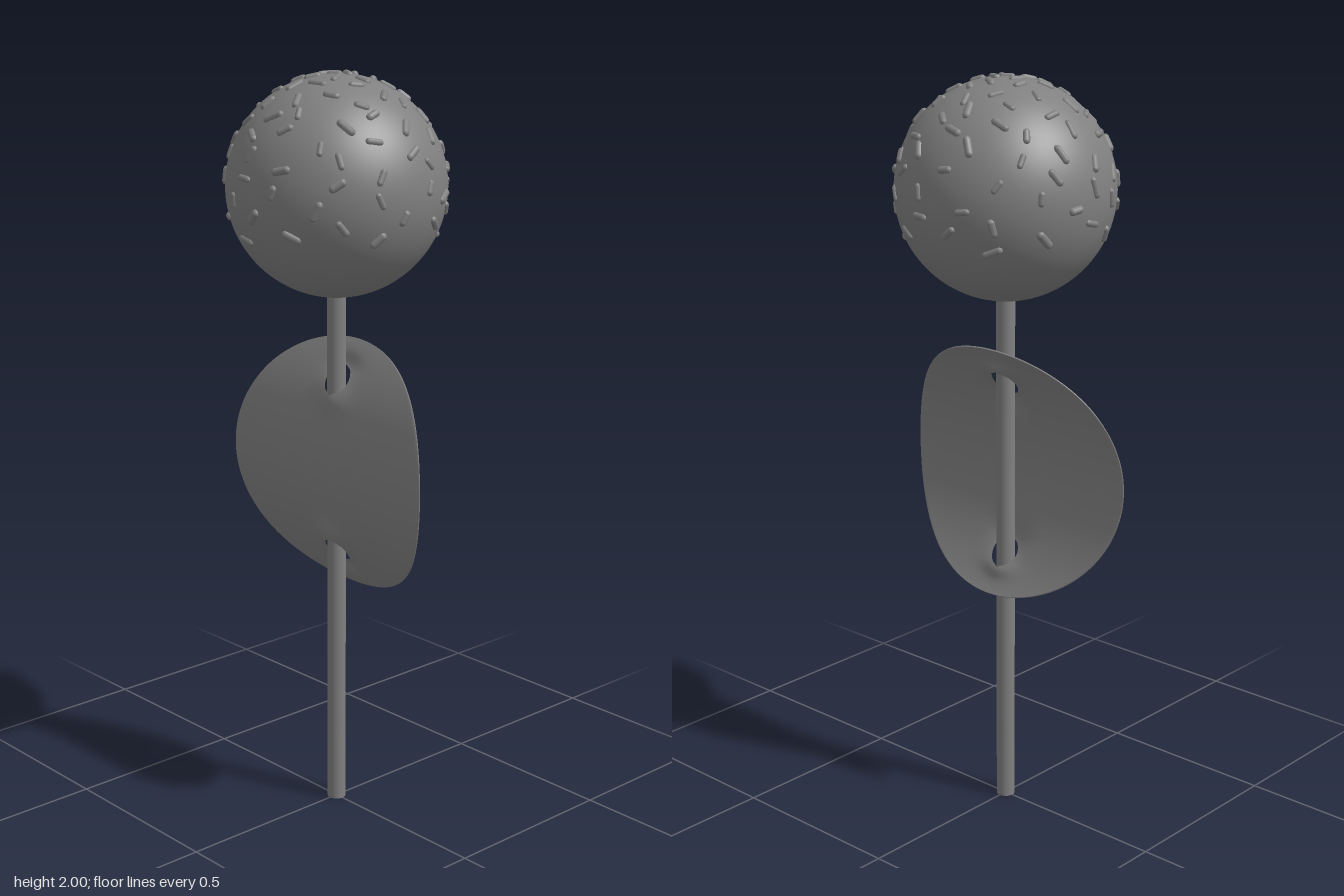
import * as THREE from 'three';
import { ParametricGeometry } from 'three/addons/geometries/ParametricGeometry.js';

const BALL_Y = 1.709, BALL_R = 0.285;
const TAG_Y = 0.962, TAG_R = 0.365, BEND_R = 0.56, TAG_Z = 0.048, TAG_THICK = 0.004;
const HOLE_V = 0.244, HOLE_W = 0.043, HOLE_H = 0.037;

const grey = new THREE.MeshStandardMaterial({ color: 0x808080 });
const greySheet = new THREE.MeshStandardMaterial({ color: 0x808080, side: THREE.DoubleSide });

function seeded(seed) {
  return () => {
    seed = (seed * 16807) % 2147483647;
    return seed / 2147483647;
  };
}

function add(parent, name, geometry, material = grey) {
  const mesh = new THREE.Mesh(geometry, material);
  mesh.name = name;
  parent.add(mesh);
  return mesh;
}

// Half of a round paper tag, bent around a horizontal axis, with two holes for the stick.
// Each row runs along the front face to the rim and returns along the back face.
function tagHalf(side) {
  const bump = (x, d, size) => Math.exp(-((x / 0.05) ** 2) - (d / size) ** 2);
  const columns = 36;
  const geometry = new ParametricGeometry((u, v, target) => {
    const s = TAG_R * Math.sin((v - 0.5) * Math.PI); // distance along the bent sheet
    const a = Math.abs(s);
    const outer = Math.sqrt(Math.max(0, TAG_R ** 2 - s * s));
    const inner = HOLE_W * Math.sqrt(Math.max(0, 1 - ((a - HOLE_V) / HOLE_H) ** 2));
    const across = THREE.MathUtils.smoothstep(1 - Math.abs(2 * u - 1), 0, 1);
    const x = inner + (outer - inner) * across;
    // the sheet passes in front of the stick between the holes and behind it beyond them
    const push = 0.016 * bump(x, a - 0.2, 0.045) - 0.014 * bump(x, a - 0.285, 0.03);
    const face = THREE.MathUtils.clamp((0.5 - u) * columns, -1, 1) * TAG_THICK / 2;
    const radius = BEND_R + face;
    target.set(
      side * x,
      TAG_Y + radius * Math.sin(s / BEND_R),
      TAG_Z - BEND_R + radius * Math.cos(s / BEND_R) + push
    );
  }, columns, 140);
  geometry.computeVertexNormals();
  return geometry;
}

// Small rods lying on the ball, dense on top and thinning out below the middle
function addSprinkles(parent) {
  const random = seeded(4217);
  const count = 104;
  const up = new THREE.Vector3(0, 1, 0);
  for (let i = 0; i < count; i++) {
    const cos = 1 - 1.42 * ((i + 0.5) / count) ** 1.3;
    const theta = Math.acos(cos) + (random() - 0.5) * 0.06;
    const phi = i * 2.39996 + (random() - 0.5) * 0.3;
    const normal = new THREE.Vector3().setFromSphericalCoords(1, theta, phi);
    const radius = 0.008 + random() * 0.003;
    const length = 0.02 + random() * 0.018;
    const sprinkle = add(parent, 'sprinkle', new THREE.CapsuleGeometry(radius, length, 3, 10));
    sprinkle.position.copy(normal).multiplyScalar(BALL_R - 0.002);
    // lay the rod flat on the surface, then spin it about the surface normal
    const tangent = new THREE.Vector3().setFromSphericalCoords(1, theta + Math.PI / 2, phi);
    tangent.applyAxisAngle(normal, random() * Math.PI);
    sprinkle.quaternion.setFromUnitVectors(up, tangent);
  }
}

export function createModel() {
  const model = new THREE.Group();
  model.name = 'cakePop';

  // Stick
  add(model, 'stick', new THREE.CylinderGeometry(0.025, 0.025, 1.55, 32)).position.y = 0.775;

  // Ball with sprinkles
  const ball = new THREE.Group();
  ball.name = 'ball';
  ball.position.y = BALL_Y;
  add(ball, 'cake', new THREE.SphereGeometry(BALL_R, 64, 48));
  addSprinkles(ball);
  model.add(ball);

  // Paper tag threaded onto the stick
  const tag = new THREE.Group();
  tag.name = 'paperTag';
  add(tag, 'tagLeft', tagHalf(1), greySheet);
  add(tag, 'tagRight', tagHalf(-1), greySheet);
  model.add(tag);

  return model;
}
